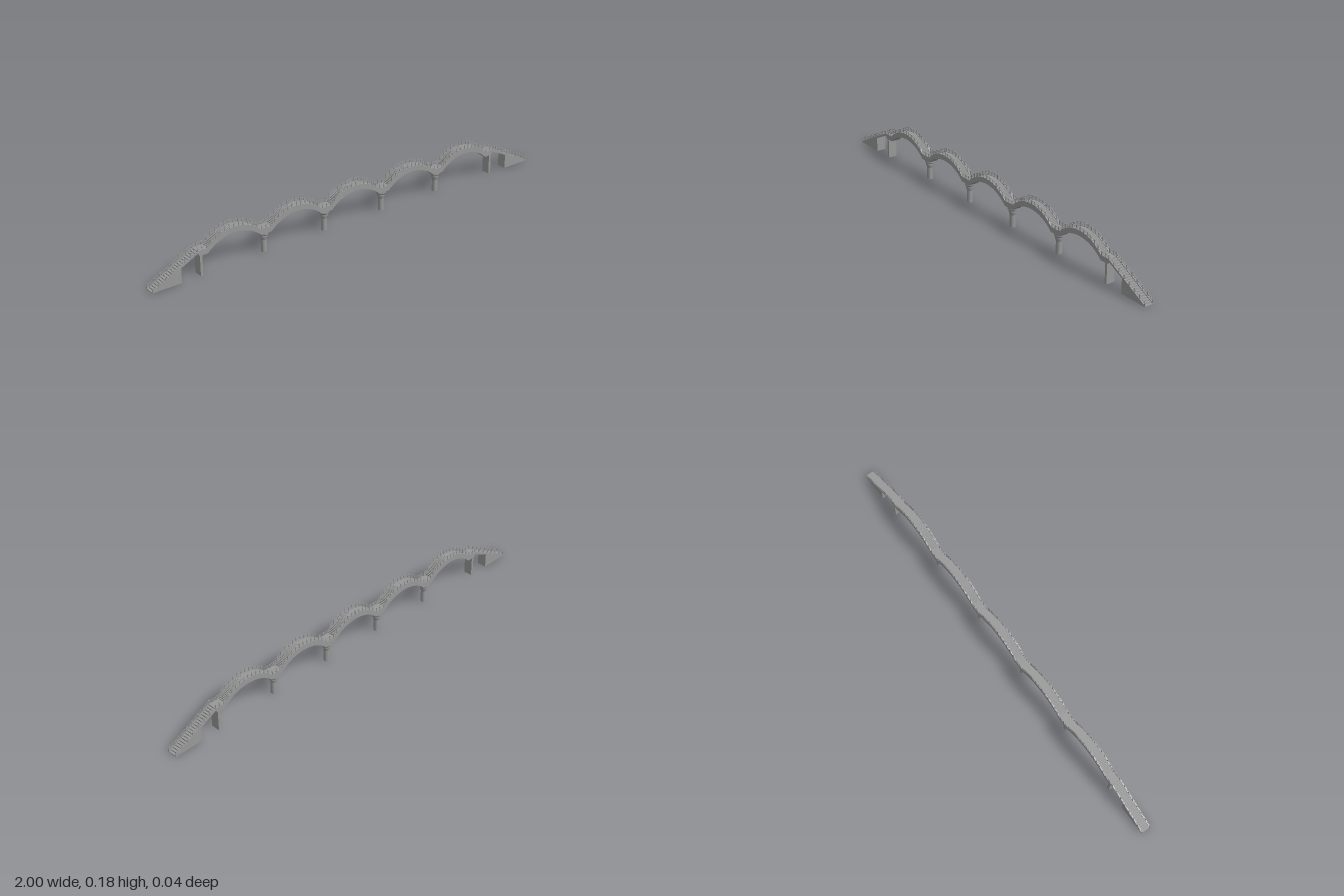
import * as THREE from 'three';

const SPAN = 0.3067, HALF = 0.127, LAND_END = 0.787, BLOCK = 0.866;
const DECK = 0.113, UNDER = 0.09;

// height of a circular arc with given end height and rise, at distance d from its centre
function arc(d, base, rise) {
  if (d >= HALF) return base;
  const r = (HALF * HALF + rise * rise) / (2 * rise);
  return base + rise - r + Math.sqrt(r * r - d * d);
}
const fromCentre = (x) => Math.abs(x - Math.max(-2, Math.min(2, Math.round(x / SPAN))) * SPAN);

// walking line: five arches with flat landings, then straight stairs
function deckY(x) {
  const a = Math.abs(x);
  if (a > LAND_END) return DECK - (a - LAND_END) * (DECK - 0.004) / (1 - LAND_END);
  return arc(fromCentre(x), DECK, 0.052);
}
const underY = (x) => arc(fromCentre(x), UNDER, 0.052);

// sample positions along the bridge
function samples() {
  const xs = [-1, -LAND_END];
  for (let i = -2; i <= 2; i++) {
    for (let k = 0; k <= 24; k++) xs.push(i * SPAN - HALF + (2 * HALF * k) / 24);
  }
  xs.push(LAND_END, 1);
  return xs;
}

function extrude(points, z0, z1) {
  const shape = new THREE.Shape(points.map(([x, y]) => new THREE.Vector2(x, y)));
  const geo = new THREE.ExtrudeGeometry(shape, { depth: z1 - z0, bevelEnabled: false });
  return geo.translate(0, 0, z0);
}

// underside outline, running from right to left
function underside() {
  const pts = [[1, 0], [BLOCK, 0], [BLOCK, deckY(BLOCK) - 0.008],
    [LAND_END, DECK - 0.01], [0.779, UNDER]];
  const mid = samples().filter((x) => Math.abs(x) < 0.779).reverse().map((x) => [x, underY(x)]);
  const left = pts.map(([x, y]) => [-x, y]).reverse();
  return [...pts, ...mid, ...left];
}

// steps between two positions
function steps(from, to, count) {
  const pts = [];
  for (let i = 0; i < count; i++) {
    const a = from + ((to - from) * i) / count, b = from + ((to - from) * (i + 1)) / count;
    const y = Math.min(deckY(a), deckY(b)) - 0.001;
    pts.push([a, y], [b, y]);
  }
  return pts;
}

// band that follows the walking line between two height offsets
function band(lo, hi, z0, z1) {
  const xs = samples();
  const top = xs.map((x) => [x, deckY(x) + hi]);
  const bottom = xs.slice().reverse().map((x) => [x, deckY(x) + lo]);
  return extrude([...bottom, ...top], z0, z1);
}

export function createModel() {
  const group = new THREE.Group();
  const mat = new THREE.MeshStandardMaterial({ color: 0x989898 });
  const add = (geo, name, x = 0, y = 0, z = 0) => {
    const mesh = new THREE.Mesh(geo, mat);
    mesh.name = name;
    mesh.position.set(x, y, z);
    group.add(mesh);
  };

  // arched body with coarse stairs at the ends and fine steps over the arches
  const stepLine = [...steps(-1, -LAND_END, 20), ...steps(-LAND_END, LAND_END, 310),
    ...steps(LAND_END, 1, 20)];
  add(extrude([...underside(), ...stepLine], -0.018, 0.018), 'steppedDeck');

  // smooth side walls
  const wallOutline = [...underside(), ...samples().map((x) => [x, deckY(x) + 0.001])];
  add(extrude(wallOutline, 0.018, 0.0215), 'frontSideWall');
  add(extrude(wallOutline, -0.0215, -0.018), 'backSideWall');

  // railings on both edges, with wider post spacing on the stairs
  const postGeo = new THREE.BoxGeometry(0.004, 0.02, 0.003);
  const postXs = [];
  for (let i = -35; i <= 35; i++) postXs.push(i * SPAN / 14);
  for (const s of [-1, 1]) {
    for (let i = 0; i < 8; i++) postXs.push(s * (LAND_END + i * 0.0301));
  }
  for (const side of [-1, 1]) {
    const z = side * 0.02;
    add(band(0.0135, 0.015, z - 0.001, z + 0.001), 'topRail');
    add(band(0.0065, 0.0075, z - 0.0007, z + 0.0007), 'middleRail');
    for (const x of postXs) add(postGeo, 'railPost', x, deckY(x) + 0.0085, z);
  }

  // round piers with flared capitals, built ring by ring to keep the edges crisp
  const pierProfile = [[0, 0], [0.0125, 0], [0.0125, 0.055], [0.0165, 0.068],
    [0.0165, 0.075], [0.021, 0.081], [0.021, 0.093], [0, 0.093]]
    .map(([r, y]) => new THREE.Vector2(r, y));
  for (const k of [-1.5, -0.5, 0.5, 1.5]) {
    const pier = new THREE.Group();
    pier.name = 'pier';
    for (let i = 0; i < pierProfile.length - 1; i++) {
      const ring = new THREE.Mesh(new THREE.LatheGeometry(pierProfile.slice(i, i + 2), 20), mat);
      ring.name = 'pierRing';
      pier.add(ring);
    }
    pier.position.x = k * SPAN;
    group.add(pier);
  }

  // thin end walls
  for (const s of [-1, 1]) {
    add(new THREE.BoxGeometry(0.011, 0.1, 0.04), 'endWall', s * 0.772, 0.05, 0);
  }
  return group;
}
